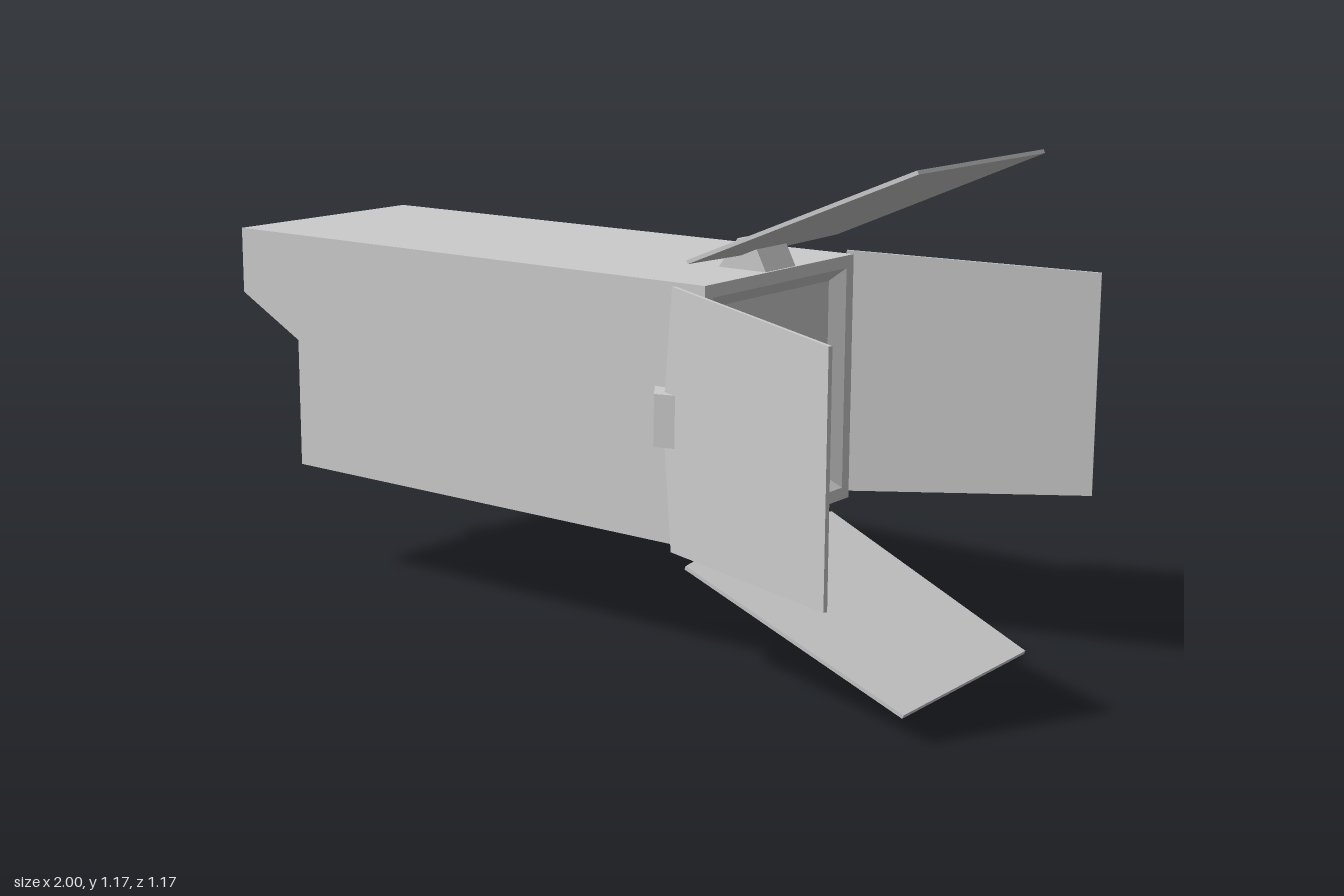
import * as THREE from 'three';

const AXIS_Y = 0.588; // height of the lamp's long axis
const HALF = 0.3; // half width of the square housing
const REAR = -0.8;
const FRONT = 0.49;
const WALL = 0.025;

const material = new THREE.MeshStandardMaterial({ color: 0xcccccc, flatShading: true });

function addMesh(parent, name, geometry) {
  const mesh = new THREE.Mesh(geometry, material);
  mesh.name = name;
  parent.add(mesh);
  return mesh;
}

function polygon(points) {
  return new THREE.Shape(points.map(([x, y]) => new THREE.Vector2(x, y)));
}

function extrude(points, depth) {
  return new THREE.ExtrudeGeometry(polygon(points), { depth, bevelEnabled: false });
}

// Square section swept along x; each point is [half width, x]
function squareLoft(points) {
  const profile = points.map(([h, x]) => new THREE.Vector2(h * Math.SQRT2, x));
  return new THREE.LatheGeometry(profile, 4, Math.PI / 4).rotateZ(-Math.PI / 2);
}

// Hinge block and flared flap, made for the top side of the housing
function createBarnDoor() {
  const door = new THREE.Group();

  const hinge = extrude([[0.35, 0.295], [0.487, 0.295], [0.455, 0.357], [0.405, 0.371]], 0.12);
  addMesh(door, 'hinge', hinge.translate(0, 0, -0.06));

  const outline = [
    [0, -0.06], [0.03, -0.3], [0.635, -0.27],
    [0.635, 0.27], [0.03, 0.3], [0, 0.06],
  ];
  const flap = extrude(outline, 0.009);
  flap.rotateX(-Math.PI / 2).rotateZ(0.396).translate(0.415, 0.332, 0);
  addMesh(door, 'flap', flap);
  return door;
}

export function createModel() {
  const model = new THREE.Group();
  model.name = 'barnDoorLamp';
  const lamp = new THREE.Group();
  lamp.name = 'lamp';
  lamp.position.y = AXIS_Y;
  model.add(lamp);

  // Housing with bevelled front rim, and the recessed front panel
  addMesh(lamp, 'housing', squareLoft([
    [0, REAR], [HALF, REAR], [HALF, FRONT], [0.27, FRONT], [0.24, FRONT - 0.03],
  ]));
  addMesh(lamp, 'lens', squareLoft([[0.24, FRONT - 0.03], [0, FRONT - 0.03]]));

  // Rear hood: a thin roof between two cheeks with sloping lower edges
  const hood = new THREE.Group();
  hood.name = 'rearHood';
  lamp.add(hood);
  const roof = new THREE.BoxGeometry(0.2, WALL, 2 * (HALF - WALL));
  addMesh(hood, 'hoodRoof', roof.translate(-0.9, HALF - WALL / 2, 0));
  for (const [name, z] of [['frontCheek', HALF - WALL], ['backCheek', -HALF]]) {
    const cheek = extrude([[-1, 0.132], [REAR, 0.027], [REAR, HALF], [-1, HALF]], WALL);
    addMesh(hood, name, cheek.translate(0, 0, z));
  }

  // Four barn doors around the lens
  ['top', 'front', 'bottom', 'back'].forEach((side, i) => {
    const door = createBarnDoor();
    door.name = side + 'BarnDoor';
    door.rotation.x = (i * Math.PI) / 2;
    lamp.add(door);
  });

  return model;
}
